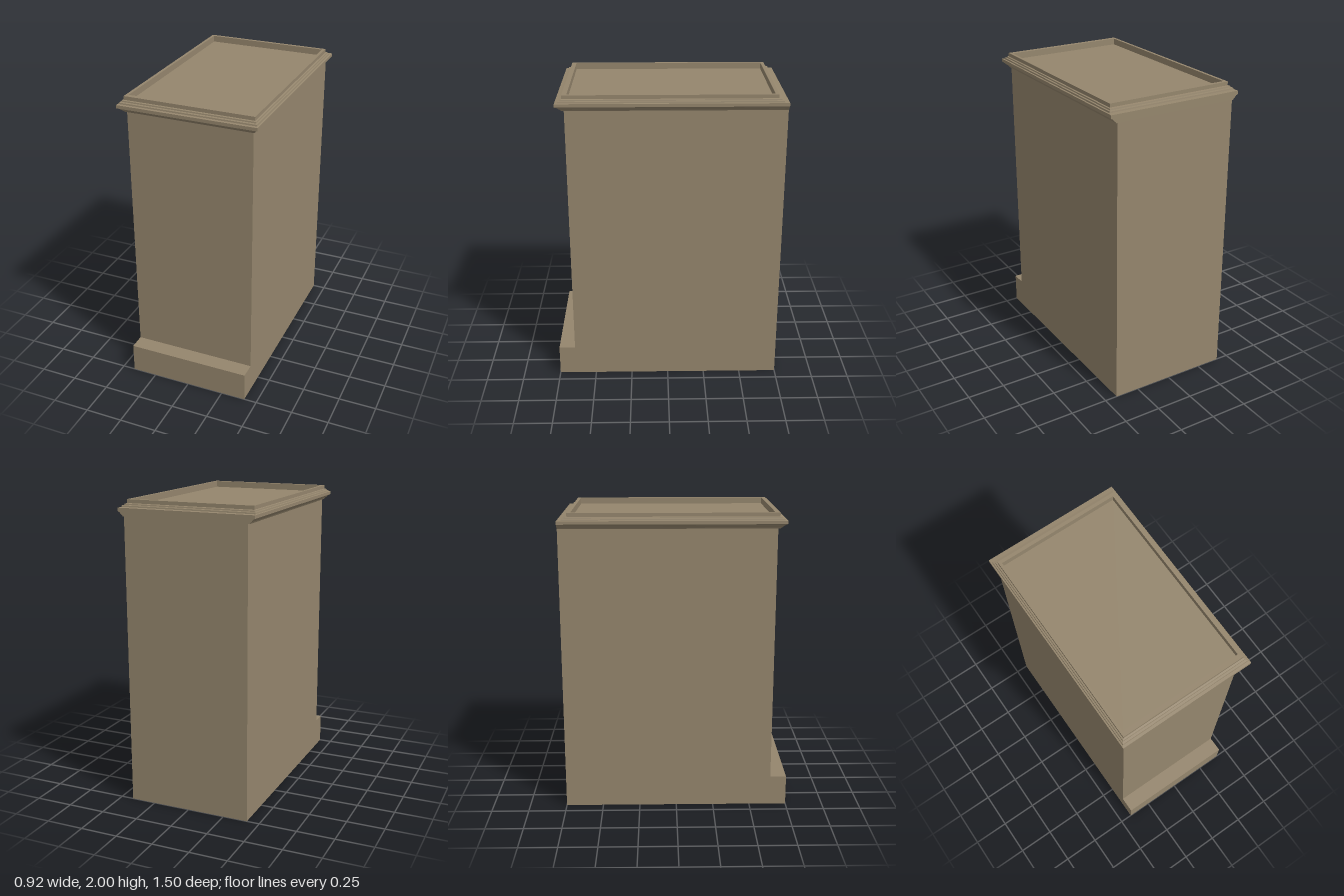
import * as THREE from 'three';

const stone = new THREE.MeshStandardMaterial({ color: 0x95866d });
stone.name = 'tan stone';

// Box given by its bounds
function block(name, halfX, y0, y1, z0, z1) {
  const geo = new THREE.BoxGeometry(halfX * 2, y1 - y0, z1 - z0);
  geo.translate(0, (y0 + y1) / 2, (z0 + z1) / 2);
  const mesh = new THREE.Mesh(geo, stone);
  mesh.name = name;
  return mesh;
}

// Flat-faced loft through rectangles [y, halfX, frontZ, backZ], capped by the last one
function loftRectangles(rings) {
  const pos = [];
  const corners = ([y, hx, zf, zb]) => [[-hx, y, zf], [hx, y, zf], [hx, y, zb], [-hx, y, zb]];
  const quad = (a, b, c, d) => pos.push(...a, ...b, ...c, ...a, ...c, ...d);
  for (let i = 0; i < rings.length - 1; i++) {
    const low = corners(rings[i]), high = corners(rings[i + 1]);
    for (let k = 0; k < 4; k++) {
      const n = (k + 1) % 4;
      quad(low[k], low[n], high[n], high[k]);
    }
  }
  quad(...corners(rings[rings.length - 1]));
  const geo = new THREE.BufferGeometry();
  geo.setAttribute('position', new THREE.Float32BufferAttribute(pos, 3));
  geo.computeVertexNormals();
  return geo;
}

export function createModel() {
  const group = new THREE.Group();
  group.name = 'pedestal';

  // Shaft and front plinth step
  group.add(block('shaft', 0.415, 0, 1.9, -0.75, 0.642));
  group.add(block('plinth', 0.415, 0, 0.2, 0.642, 0.75));

  // Moulded cornice, flush at the back, with a raised rim around a sunken top
  const cornice = new THREE.Mesh(loftRectangles([
    [1.9, 0.415, 0.642, -0.75],
    [1.9, 0.424, 0.655, -0.75],
    [1.91, 0.43, 0.666, -0.75],
    [1.915, 0.438, 0.672, -0.75],
    [1.925, 0.446, 0.682, -0.75],
    [1.932, 0.458, 0.697, -0.75],
    [1.953, 0.458, 0.697, -0.75],
    [1.955, 0.449, 0.68, -0.72],
    [1.964, 0.447, 0.678, -0.718],
    [1.966, 0.438, 0.665, -0.704],
    [1.974, 0.436, 0.663, -0.702],
    [1.976, 0.427, 0.652, -0.686],
    [2.0, 0.427, 0.652, -0.686],
    [2.0, 0.408, 0.622, -0.664],
    [1.958, 0.408, 0.622, -0.664],
  ]), stone);
  cornice.name = 'cornice';
  group.add(cornice);

  return group;
}
